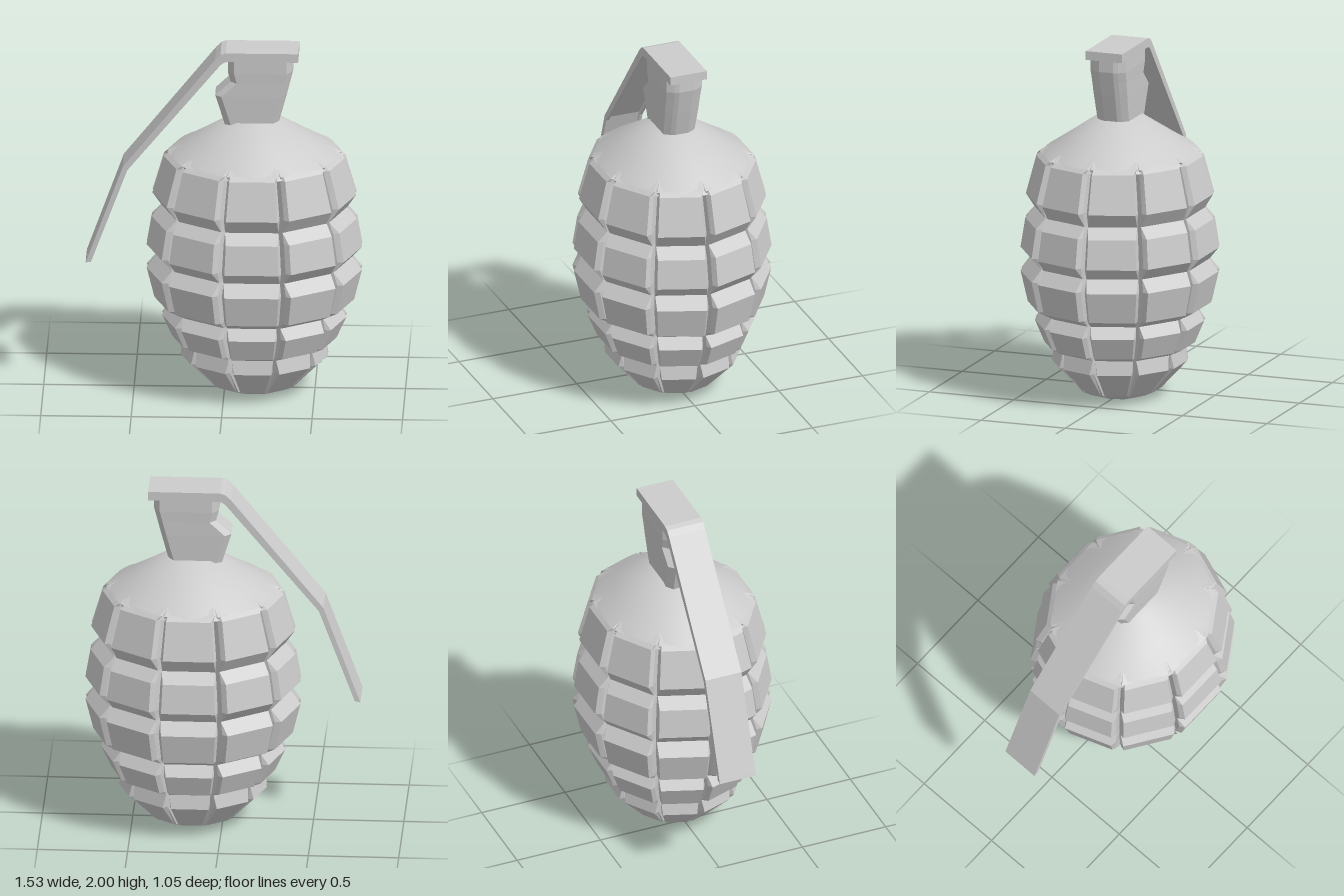
import * as THREE from 'three';

const CX = 0.165; // body axis in x
const grey = (opts = {}) => new THREE.MeshStandardMaterial({ color: 0xcccccc, ...opts });

function add(group, name, geometry, opts) {
  const mesh = new THREE.Mesh(geometry, grey(opts));
  mesh.name = name;
  group.add(mesh);
  return mesh;
}

// Skin closed rings (ordered top to bottom), with a fan over the first and last
function loft(rings) {
  const pos = [];
  const tri = (a, b, c) => pos.push(...a, ...b, ...c);
  const n = rings[0].length;
  const centre = (ring) => [0, 1, 2].map((k) => ring.reduce((s, p) => s + p[k], 0) / n);
  const last = rings[rings.length - 1];
  const top = centre(rings[0]), bottom = centre(last);
  for (let j = 0; j < n; j++) {
    const k = (j + 1) % n;
    for (let i = 0; i < rings.length - 1; i++) {
      const a = rings[i][j], b = rings[i][k], c = rings[i + 1][k], d = rings[i + 1][j];
      tri(a, b, c);
      tri(a, c, d);
    }
    tri(top, rings[0][k], rings[0][j]);
    tri(bottom, last[j], last[k]);
  }
  const geo = new THREE.BufferGeometry();
  geo.setAttribute('position', new THREE.Float32BufferAttribute(pos, 3));
  geo.computeVertexNormals();
  return geo;
}

// One body ring: ten flat panels with chamfered sides and a narrow groove between
function bodyRing([y, face, edge, groove, valley]) {
  const ring = [];
  const inner = 16.7, outer = valley ? inner : 14.5;
  for (let s = 0; s < 10; s++) {
    const columns = [[-18, groove], [-inner, edge], [-outer, face], [outer, face], [inner, edge]];
    for (const [deg, apothem] of columns) {
      const t = THREE.MathUtils.degToRad(deg);
      const r = apothem / Math.cos(t);
      const a = t + THREE.MathUtils.degToRad(18 + 36 * s);
      ring.push([CX + 1.1 * r * Math.cos(a), y, r * Math.sin(a)]);
    }
  }
  return ring;
}

const panel = (y, a) => [y, a, a - 0.03, a - 0.085];
const valley = (y, a) => [y, a, a, a - 0.04, true];

function createBody() {
  const body = new THREE.Group();
  body.name = 'body';
  const rows = [
    [1.42, 0.36, 0.36, 0.36], [1.385, 0.42, 0.42, 0.4],
    panel(1.365, 0.442), panel(1.15, 0.497), valley(1.07, 0.447),
    panel(1.01, 0.5), panel(0.845, 0.525), valley(0.78, 0.472),
    panel(0.71, 0.525), panel(0.535, 0.487), valley(0.492, 0.41),
    panel(0.43, 0.45), panel(0.305, 0.4), valley(0.28, 0.345),
    panel(0.2, 0.36), [0.045, 0.222, 0.215, 0.2], [0.025, 0.18, 0.18, 0.18],
    [0, 0.11, 0.11, 0.11],
  ];
  add(body, 'segmentedShell', loft(rows.map(bodyRing)), { flatShading: true });

  // Smooth shoulder above the panels
  const profile = [[0.44, 1.365], [0.415, 1.395], [0.3, 1.47], [0.13, 1.585], [0, 1.585]];
  const dome = add(body, 'shoulder', new THREE.LatheGeometry(
    profile.map(([x, y]) => new THREE.Vector2(x, y)), 40), { side: THREE.DoubleSide });
  dome.scale.x = 1.1;
  dome.position.x = CX;
  return body;
}

// Neck with chamfered ends, leaning outward, notched on the lever side
function createNeck() {
  const rows = [
    [1.95, 0.02, 0.38, 0.105], [1.88, 0.02, 0.38, 0.105], [1.82, 0.035, 0.365, 0.102],
    [1.74, -0.05, 0.345, 0.1], [1.56, 0.005, 0.297, 0.092],
  ];
  const rings = rows.map(([y, x0, x1, d]) => [
    [x1, -0.4 * d], [x1 - 0.01, 0.4 * d * -1.6], [x1 - 0.035, -d],
    [x0 + 0.035, -d], [x0, -0.65 * d],
    [x0, 0.65 * d], [x0 + 0.035, d],
    [x1 - 0.035, d], [x1 - 0.01, 0.64 * d], [x1, 0.4 * d],
  ].reverse().map(([x, z]) => [x, y, z]));
  return loft(rings);
}

// Extrude an outline in x-y across z from z0 to z1
function slab(points, z0, z1) {
  const shape = new THREE.Shape(points.map(([x, y]) => new THREE.Vector2(x, y)));
  const geo = new THREE.ExtrudeGeometry(shape, { depth: z1 - z0, bevelEnabled: false });
  return geo.translate(0, 0, z0);
}

// Bent sheet lever with a folded rim on its underside
function createLever() {
  const lever = new THREE.Group();
  lever.name = 'lever';
  const outer = [[0.41, 2], [0.01, 2], [-0.02, 1.99], [-0.05, 1.96], [-0.56, 1.325], [-0.765, 0.76]];
  const inner = [[0.41, 1.95], [0.02, 1.95], [0, 1.945], [-0.02, 1.93], [-0.535, 1.305], [-0.735, 0.765]];
  const mid = outer.map((p, i) => p.map((v, k) => v + (inner[i][k] - v) * 0.45));
  add(lever, 'leverSheet', slab([...outer, ...mid.reverse()], -0.108, 0.108));
  for (const [side, z] of [['left', -0.108], ['right', 0.092]]) {
    add(lever, `${side}LeverRim`, slab([...outer, ...[...inner].reverse()], z, z + 0.016));
  }
  add(lever, 'plateEnd', slab([[0.392, 1.95], [0.41, 1.95], [0.41, 2], [0.392, 2]], -0.108, 0.108));
  add(lever, 'leverTip', slab([[-0.765, 0.76], [-0.735, 0.765], [-0.73, 0.78], [-0.758, 0.78]], -0.108, 0.108));
  return lever;
}

export function createModel() {
  const model = new THREE.Group();
  model.name = 'grenade';
  model.add(createBody());
  add(model, 'neck', createNeck(), { flatShading: true });
  model.add(createLever());
  return model;
}
